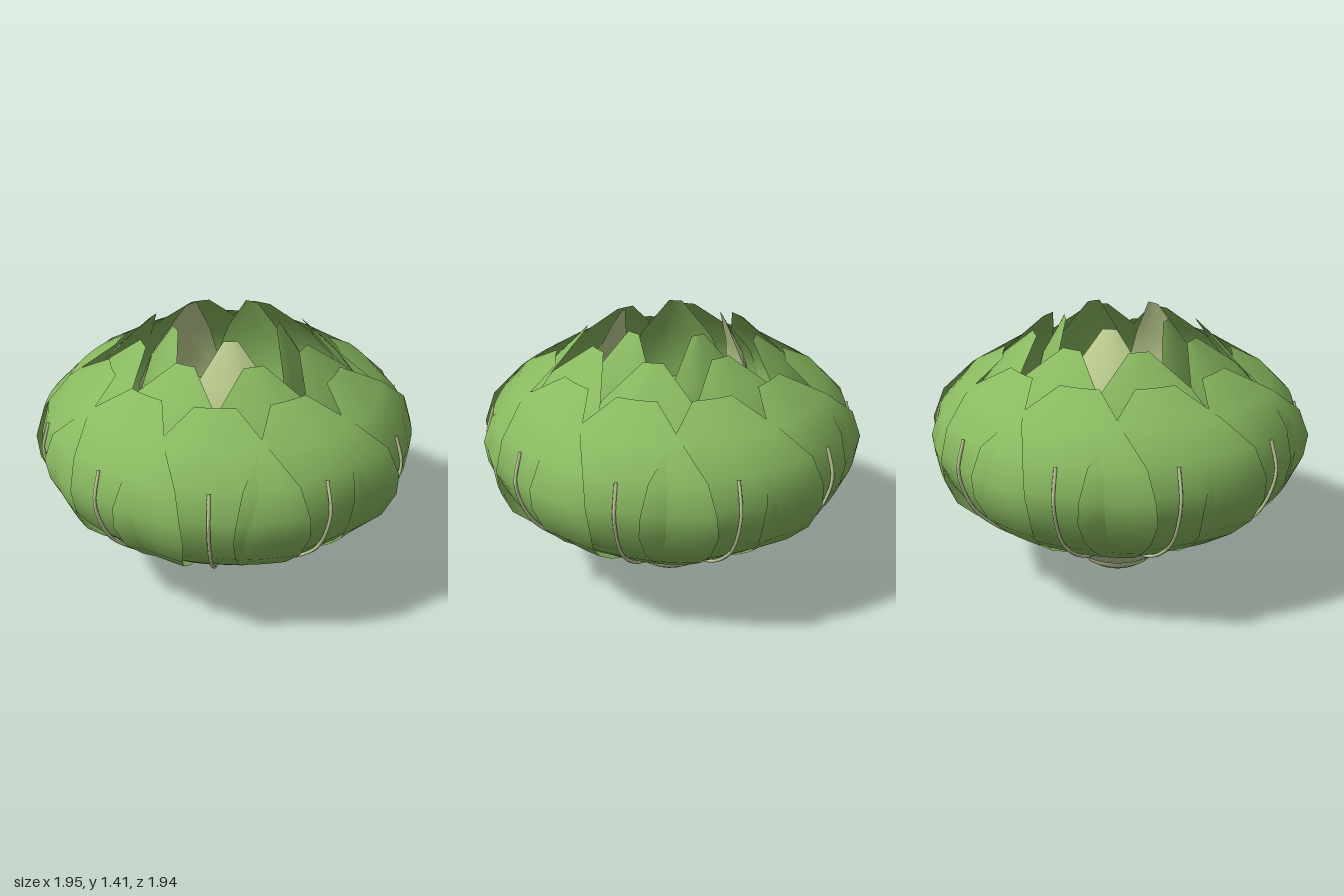
import * as THREE from 'three';

const mat = (name, color, side = THREE.FrontSide) => {
  const m = new THREE.MeshStandardMaterial({ color, side });
  m.name = name;
  return m;
};

const vec2 = pts => pts.map(p => new THREE.Vector2(...p));

// A leaf from rows of [radius, height, half width]; edges curl outward, one more than the other
function leafGeometry(rows, curl, tilt, phase) {
  const U = 10, V = rows.length - 1, pos = [], index = [];
  rows.forEach(([radius, y, w], j) => {
    const t = j / V, lift = Math.min(1, t * 2.5, (1 - t) * 2.5);
    for (let i = 0; i <= U; i++) {
      const s = i / U * 2 - 1;
      const a = s * w / radius;
      const r = radius + (curl * s * s + tilt * s) * lift
        + 0.03 * Math.sin(s * 4) * Math.cos(phase + t * 7) * t * (1 - t);
      pos.push(r * Math.sin(a), y, r * Math.cos(a));
      if (i < U && j < V) {
        const k = j * (U + 1) + i, n = k + U + 1;
        index.push(k, k + 1, n + 1, k, n + 1, n);
      }
    }
  });
  const g = new THREE.BufferGeometry();
  g.setAttribute('position', new THREE.Float32BufferAttribute(pos, 3));
  g.setIndex(index);
  g.computeVertexNormals();
  return g;
}

export function createModel() {
  const root = new THREE.Group();
  root.name = 'cabbage';
  const green = mat('leafGreen', 0x89b960, THREE.DoubleSide);
  const pale = mat('paleGreen', 0xc1d293, THREE.DoubleSide);
  const rib = mat('veinCream', 0xc6d09e);
  const stalk = mat('stalkCream', 0xc4d09c, THREE.DoubleSide);

  const add = (name, geometry, material, parent = root) => {
    const m = new THREE.Mesh(geometry, material);
    m.name = name;
    parent.add(m);
    return m;
  };
  const deg = Math.PI / 180;

  // Outer wrapper leaves, each with a thin raised midrib
  const outerRows = [[0.24, 0.19, 0.1], [0.43, 0.255, 0.18], [0.62, 0.35, 0.27], [0.76, 0.45, 0.35],
    [0.86, 0.55, 0.42], [0.925, 0.68, 0.47], [0.948, 0.8, 0.47], [0.91, 0.95, 0.42],
    [0.79, 1.08, 0.28], [0.585, 1.21, 0.1]];
  const ribPath = new THREE.CatmullRomCurve3(
    outerRows.slice(1, 8).map(([r, y], i) => new THREE.Vector3(0, y - 0.01, r + 0.001 * i)));
  const ribGeometry = new THREE.TubeGeometry(ribPath, 28, 0.009, 6);
  for (let i = 0; i < 10; i++) {
    const g = new THREE.Group();
    g.name = 'outerLeaf' + (i + 1);
    g.rotation.y = (18 + 36 * i) * deg;
    add('blade', leafGeometry(outerRows, 0.035, 0.012, i * 2.4), green, g);
    add('midrib', ribGeometry, rib, g);
    root.add(g);
  }

  // Middle leaves
  const middleRows = [[0.2, 0.22, 0.09], [0.58, 0.45, 0.24], [0.75, 0.68, 0.36],
    [0.775, 0.86, 0.38], [0.71, 1.02, 0.34], [0.59, 1.18, 0.23], [0.43, 1.34, 0.05]];
  for (let i = 0; i < 8; i++) {
    add('middleLeaf' + (i + 1), leafGeometry(middleRows, 0.02, 0.01, i * 1.7), green)
      .rotation.y = (5 + 45 * i) * deg;
  }

  // Inner leaves rising out of the heart, two of them pale
  const innerRows = [[0.16, 0.28, 0.08], [0.39, 0.5, 0.24], [0.45, 0.75, 0.3],
    [0.44, 1.0, 0.28], [0.38, 1.2, 0.19], [0.27, 1.41, 0.035]];
  for (let i = 0; i < 5; i++) {
    add('innerLeaf' + (i + 1), leafGeometry(innerRows, 0.01, 0.01, i * 2.1), i === 0 || i === 3 ? pale : green)
      .rotation.y = (-8 + 72 * i) * deg;
  }

  // Pale heart
  const heart = add('heart', new THREE.SphereGeometry(0.48, 40, 28), pale);
  heart.scale.y = 0.9;
  heart.position.y = 0.62;

  // Collar flaring from the stalk, with an uneven upper rim
  const collar = new THREE.LatheGeometry(
    vec2([[0.19, 0.09], [0.22, 0.1], [0.3, 0.165], [0.385, 0.245]]), 40);
  const cp = collar.attributes.position;
  for (let i = 0; i < cp.count; i++) {
    if (cp.getY(i) > 0.2) {
      const c = Math.cos(10 * Math.atan2(cp.getX(i), cp.getZ(i))), k = 1 + 0.025 * c;
      cp.setXYZ(i, cp.getX(i) * k, cp.getY(i) + 0.008 * c, cp.getZ(i) * k);
    }
  }
  collar.computeVertexNormals();
  add('collar', collar, stalk);

  // Rounded cut stalk
  add('stalk', new THREE.LatheGeometry(
    vec2([[0, 0], [0.08, 0.008], [0.14, 0.028], [0.18, 0.055], [0.2, 0.08], [0.205, 0.11]]), 32), stalk);

  return root;
}
